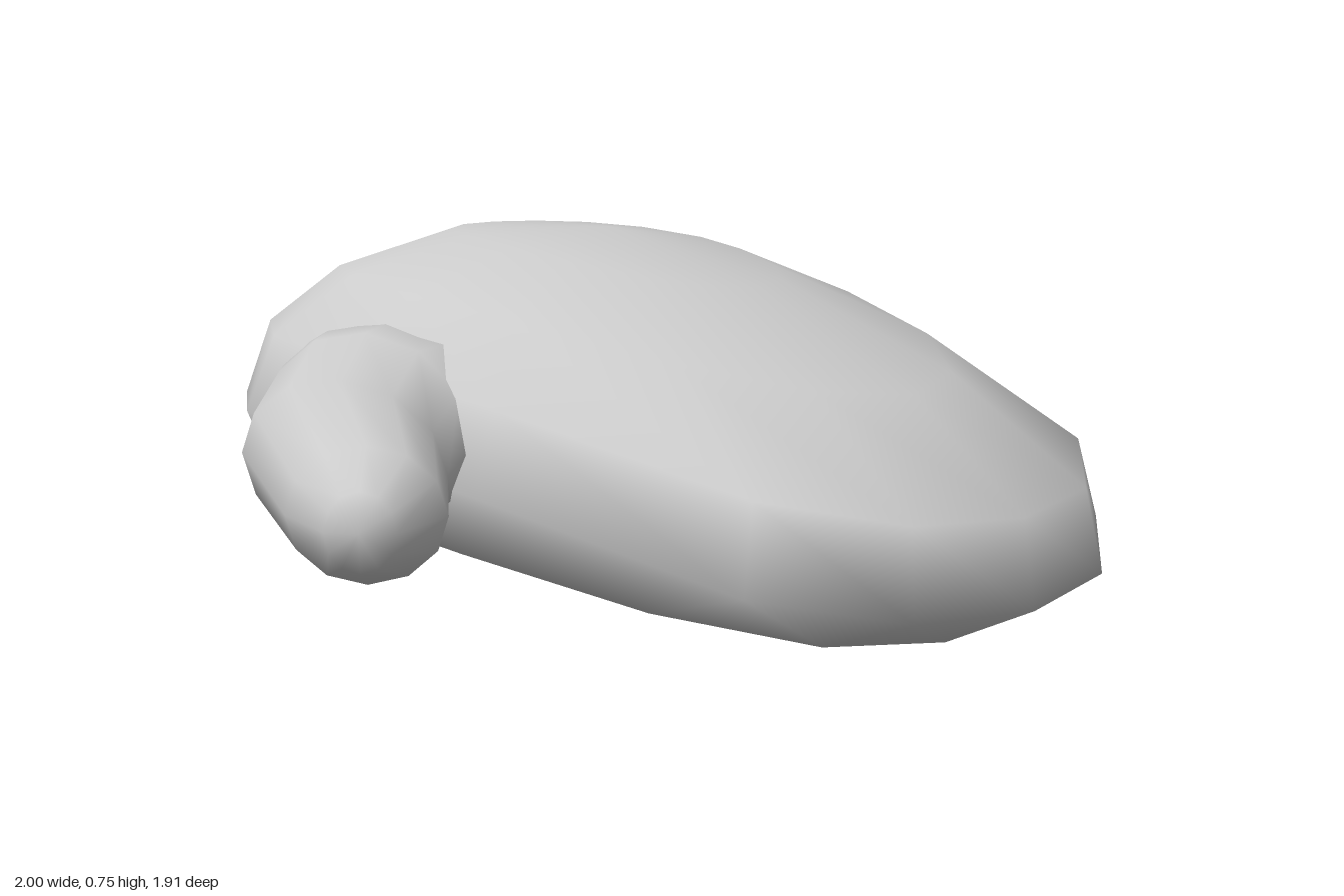
import * as THREE from 'three';

const material = new THREE.MeshStandardMaterial({ color: 0xcccccc });

// Skins closed rings of points, with a centre point closing each end.
function loft(name, start, rings, end) {
  const n = rings[0].length;
  const pos = [...start, ...rings.flat(2), ...end];
  const last = rings.length * n + 1;
  const at = (i, j) => 1 + i * n + (j % n);
  const index = [];
  for (let j = 0; j < n; j++) {
    index.push(0, at(0, j + 1), at(0, j));
    for (let i = 0; i < rings.length - 1; i++) {
      const a = at(i, j), b = at(i, j + 1), c = at(i + 1, j), d = at(i + 1, j + 1);
      index.push(a, b, c, b, d, c);
    }
    index.push(last, at(rings.length - 1, j), at(rings.length - 1, j + 1));
  }
  const geo = new THREE.BufferGeometry();
  geo.setAttribute('position', new THREE.Float32BufferAttribute(pos, 3));
  geo.setIndex(index);
  geo.computeVertexNormals();
  const mesh = new THREE.Mesh(geo, material);
  mesh.name = name;
  return mesh;
}

// Horizontal ring of the hand: drooping oval, fuller towards the +x end.
function handRing([xl, yl, xm, ym, xr, yr, halfWidth, full]) {
  const right = full ? [1, 0.96, 0.81, 0.36, 0] : [1, 0.92, 0.69, 0.32, 0];
  const left = [1, 0.94, 0.75, 0.43, 0];
  const ring = [];
  for (let j = 0; j < 16; j++) {
    const a = (j / 16) * Math.PI * 2;
    const k = j % 8 <= 4 ? j % 8 : 8 - (j % 8);
    const step = j % 16 < 8 ? k : 4 - (4 - k);
    const toRight = Math.cos(a) >= 0;
    const x = xm + (toRight ? (xr - xm) * right[step] : (xl - xm) * left[step]);
    // parabola through the left, middle and right heights
    const y = yl * (x - xm) * (x - xr) / ((xl - xm) * (xl - xr))
      + ym * (x - xl) * (x - xr) / ((xm - xl) * (xm - xr))
      + yr * (x - xl) * (x - xm) / ((xr - xl) * (xr - xm));
    ring.push([x, y, -0.2 + halfWidth * Math.sin(a)]);
  }
  return ring;
}

// Upright ring of the thumb between an outer and an inner point.
function thumbRing([ax, az, bx, bz, y0, y1]) {
  const ring = [];
  for (let j = 0; j < 12; j++) {
    const a = (j / 12) * Math.PI * 2;
    const u = Math.cos(a) / 2;
    ring.push([
      (ax + bx) / 2 + (bx - ax) * u,
      (y0 + y1) / 2 + (y1 - y0) / 2 * Math.sin(a),
      (az + bz) / 2 + (bz - az) * u,
    ]);
  }
  return ring;
}

export function createModel() {
  const group = new THREE.Group();
  group.name = 'mitten';

  // rows: left x,y, middle x,y, right x,y, half width, fuller right end
  group.add(loft('hand', [-0.15, 0.755, -0.2], [
    [-0.55, 0.75, -0.15, 0.72, 0.30, 0.65, 0.29, false],
    [-0.80, 0.66, -0.16, 0.635, 0.71, 0.47, 0.54, false],
    [-0.95, 0.53, -0.18, 0.51, 0.97, 0.27, 0.70, true],
    [-1.00, 0.36, -0.19, 0.35, 1.00, 0.10, 0.76, true],
    [-0.95, 0.21, -0.19, 0.20, 0.80, 0.00, 0.70, false],
    [-0.77, 0.23, -0.16, 0.195, 0.42, 0.12, 0.48, false],
  ].map(handRing), [-0.15, 0.19, -0.2]));

  // rows: outer x,z, inner x,z, bottom y, top y
  group.add(loft('thumb', [-0.2, 0.4, 0.2], [
    [-0.62, 0.36, 0.22, 0.22, 0.20, 0.60],
    [-0.43, 0.52, 0.15, 0.43, 0.18, 0.57],
    [-0.20, 0.73, 0.27, 0.59, 0.19, 0.51],
    [0.28, 0.95, 0.475, 0.75, 0.21, 0.45],
    [0.40, 0.955, 0.49, 0.87, 0.25, 0.39],
  ].map(thumbRing), [0.45, 0.32, 0.92]));

  return group;
}
